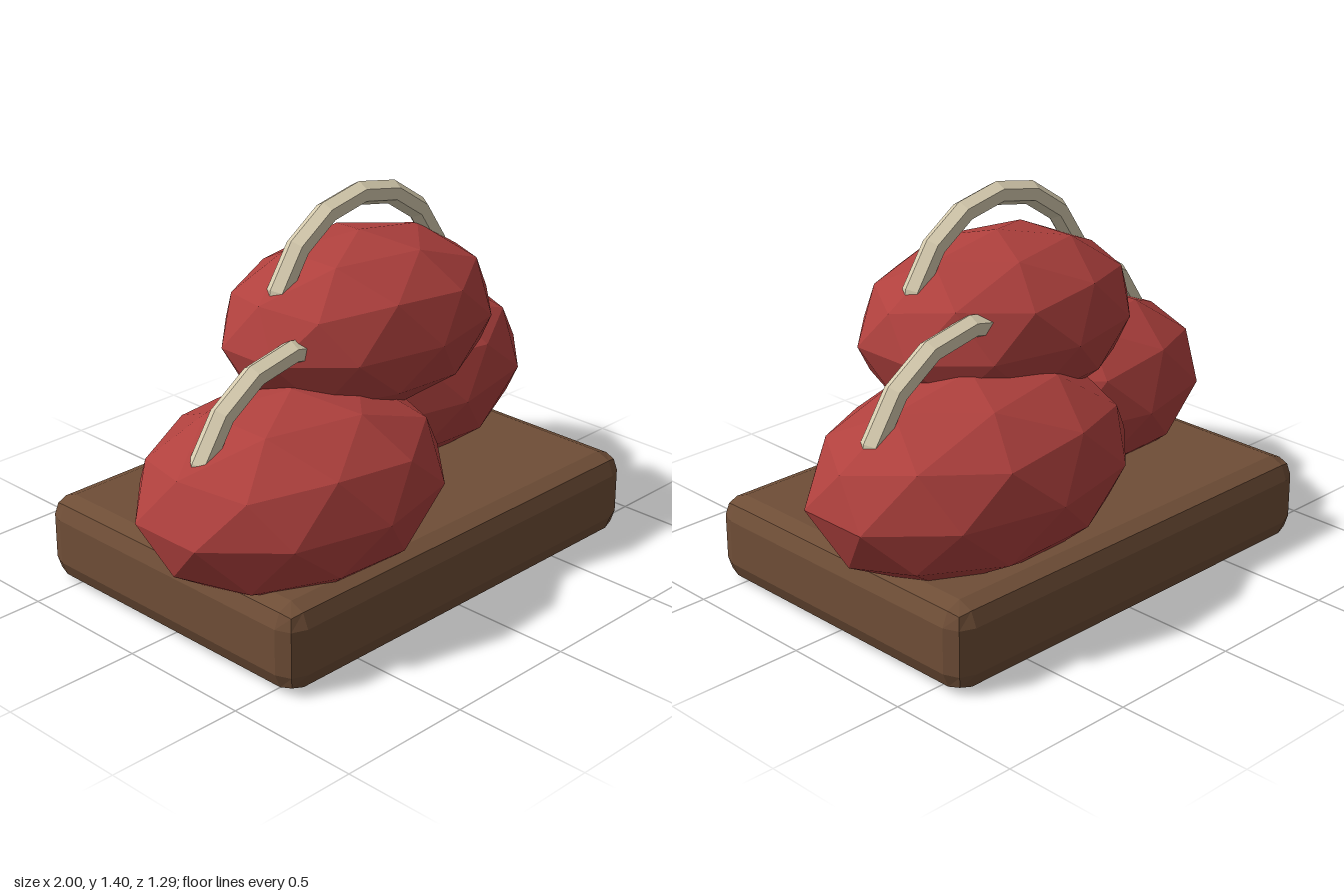
import * as THREE from 'three';
import { RoundedBoxGeometry } from 'three/addons/geometries/RoundedBoxGeometry.js';

const flat = (color) => new THREE.MeshStandardMaterial({ color, flatShading: true });

export function createModel() {
  const group = new THREE.Group();
  group.name = 'sackPile';
  const cloth = flat(0xb0413e), ropeMat = flat(0xd8cdb0), wood = flat(0x6f4e37);

  const add = (parent, name, geometry, material, x, y, z) => {
    const mesh = new THREE.Mesh(geometry, material);
    mesh.name = name;
    mesh.position.set(x, y, z);
    parent.add(mesh);
    return mesh;
  };

  // Bevelled wooden slab
  add(group, 'base', new RoundedBoxGeometry(1.7, 0.315, 1.225, 1, 0.075), wood, 0, 0.1575, -0.012);

  // Faceted ball, turned so that a corner points straight up
  const ball = new THREE.IcosahedronGeometry(1, 1).rotateZ(-Math.atan(2 / (1 + Math.sqrt(5))));

  // Each sack: centre, radii, and radius of its rope handle
  const sacks = [
    ['rightSack', [-0.4375, 0.496, 0.186], [0.592, 0.338, 0.456], 0.432],
    ['leftSack', [0.394, 0.537, -0.207], [0.637, 0.343, 0.436], 0.462],
    ['topSack', [0.04, 0.912, 0.03], [0.555, 0.316, 0.396], 0.41],
  ];
  for (const [name, centre, radii, handleRadius] of sacks) {
    const sack = new THREE.Group();
    sack.name = name;
    sack.position.set(...centre);
    add(sack, 'body', ball.clone().scale(...radii), cloth, 0, 0, 0);
    // Half-ring rope handle with its ends sunk in the body
    add(sack, 'ropeHandle', new THREE.TorusGeometry(handleRadius, 0.042, 6, 8, Math.PI), ropeMat, 0, 0.034, 0);
    group.add(sack);
  }
  return group;
}
